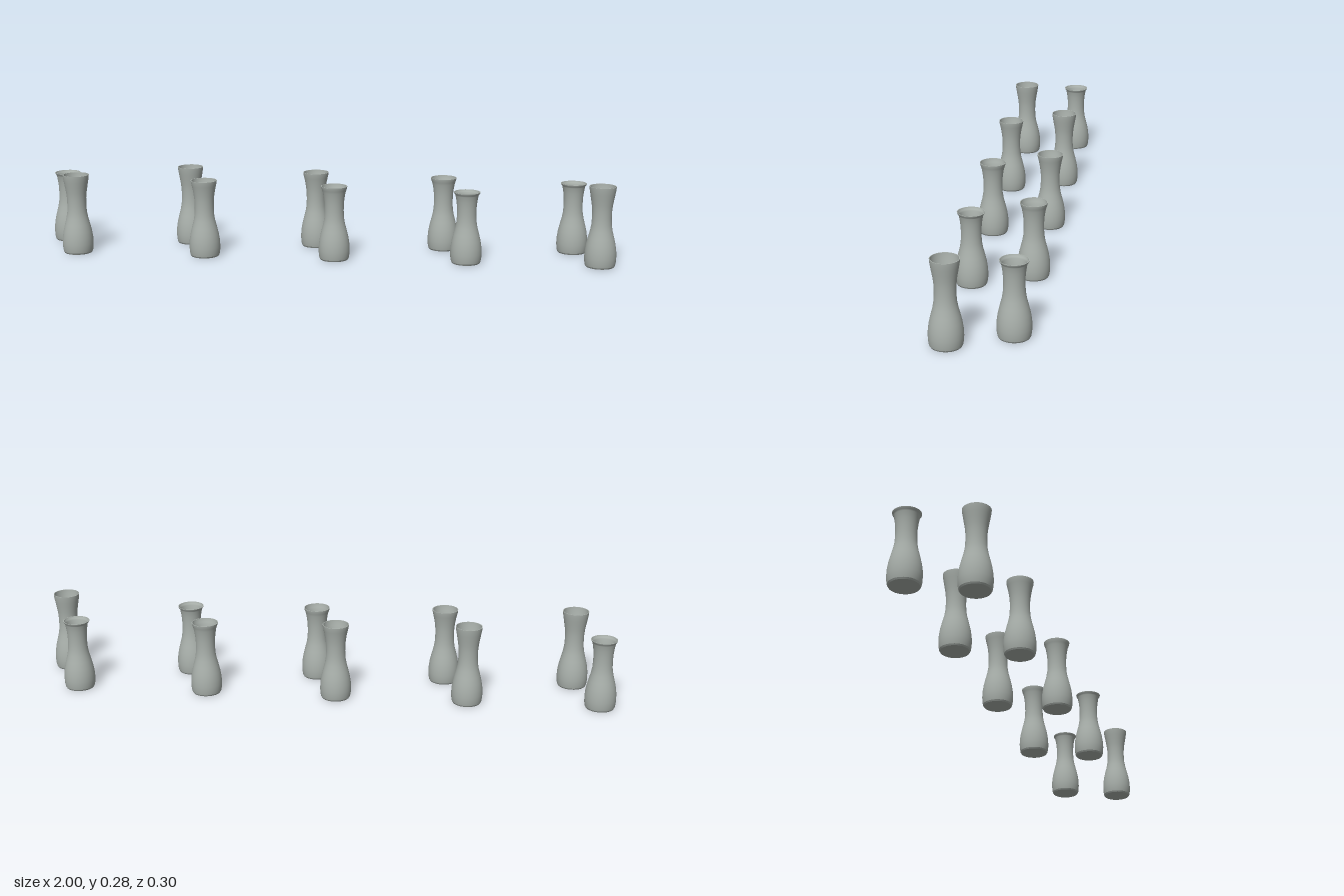
import * as THREE from 'three';

const SEGMENTS = 40;
const WALL = 0.0025;
const RIM_R = 0.045;

// Smooth body curve shared by every vase, up to the start of the flared lip
const BODY = [
  [0.0505, 0.005], [0.0527, 0.017], [0.0535, 0.034], [0.0525, 0.055], [0.049, 0.078],
  [0.0435, 0.101], [0.0375, 0.124], [0.0338, 0.146], [0.0328, 0.17],
  [0.0333, 0.194], [0.0355, 0.215], [0.039, 0.235],
];

function lathe(points, material, name) {
  const geometry = new THREE.LatheGeometry(points.map(([r, y]) => new THREE.Vector2(r, y)), SEGMENTS);
  const mesh = new THREE.Mesh(geometry, material);
  mesh.name = name;
  return mesh;
}

function createVase(height, material) {
  const vase = new THREE.Group();
  vase.name = 'vase';

  // Lip: the taller the vase, the gentler the flare
  const lip = height - 0.235;
  const outer = [
    ...BODY,
    [0.0418, 0.235 + lip * 0.4],
    [0.0443, 0.235 + lip * 0.75],
    [RIM_R, height],
  ];
  const inner = outer.map(([r, y]) => [r - WALL, y]).reverse();

  vase.add(
    lathe(outer, material, 'outerWall'),
    lathe([[RIM_R, height], [RIM_R - WALL, height]], material, 'rim'),
    lathe(inner, material, 'innerWall'),
    lathe([[0.048, 0.005], [0, 0.005]], material, 'innerFloor'),
    lathe([[0.0475, 0], [0.0505, 0.005]], material, 'footBevel'),
    lathe([[0, 0], [0.0475, 0]], material, 'base'),
  );
  return vase;
}

export function createModel() {
  const model = new THREE.Group();
  model.name = 'vases';
  const ceramic = new THREE.MeshStandardMaterial({ color: 0xa9b0ab });
  ceramic.name = 'greyCeramic';

  // Two staggered rows of five, cycling through four heights
  const heights = [0.276, 0.266, 0.256, 0.246];
  const spacing = 0.452;
  for (let i = 0; i < 5; i++) {
    const front = createVase(heights[i % 4], ceramic);
    front.name = `frontVase${i + 1}`;
    front.position.set(0.0425 + (i - 2) * spacing, 0, 0.095);

    const back = createVase(heights[(i + 3) % 4], ceramic);
    back.name = `backVase${i + 1}`;
    back.position.set(-0.0425 + (i - 2) * spacing, 0, -0.095);
    model.add(front, back);
  }
  return model;
}
